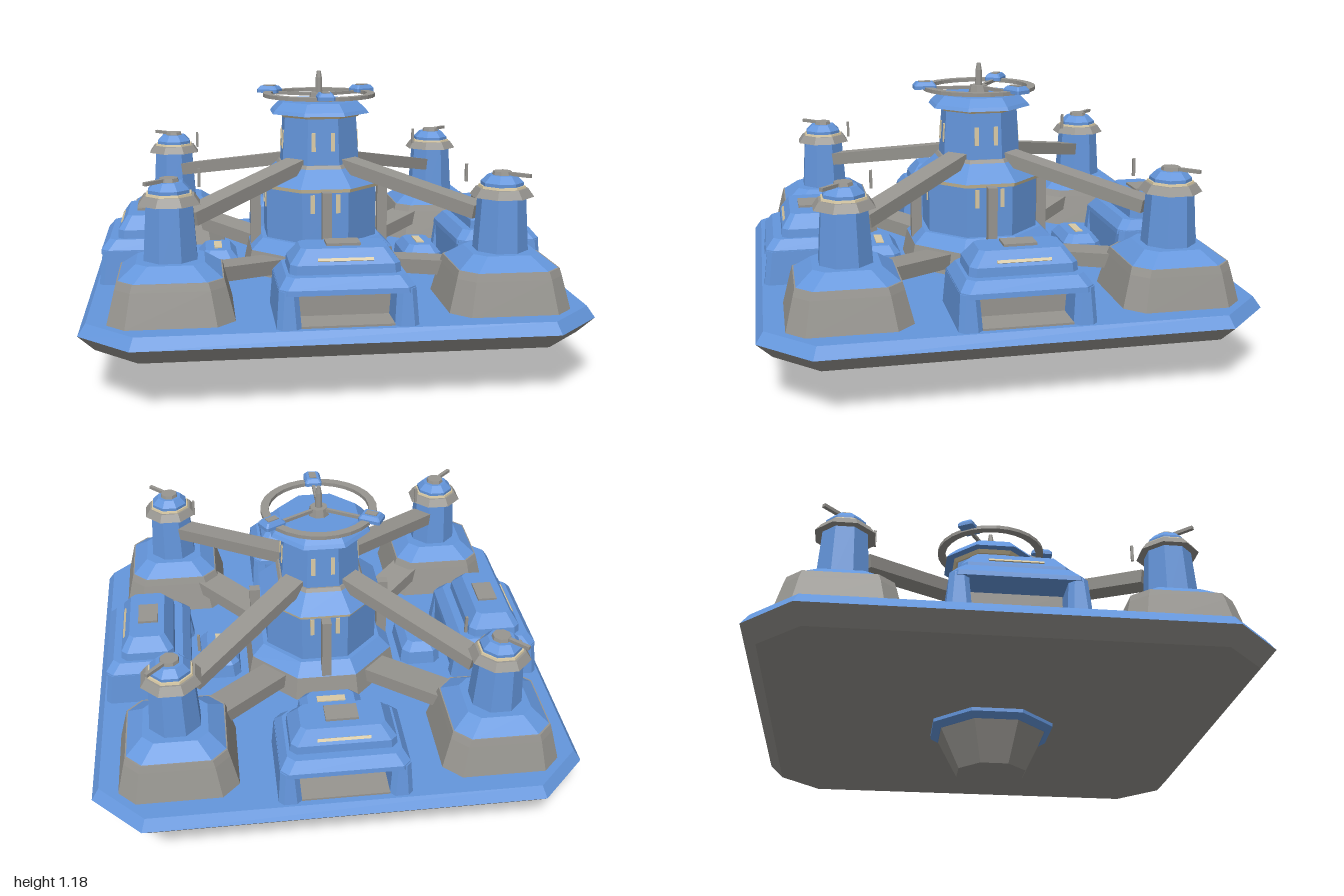
import * as THREE from 'three';

const material = (name, color) => {
  const m = new THREE.MeshStandardMaterial({ color, flatShading: true });
  m.name = name;
  return m;
};

// Stacked chamfered rectangles, each level [y, halfX, halfZ, chamfer]
function loft(levels) {
  const rings = levels.map(([y, a, b, c]) => [
    [a - c, b], [a, b - c], [a, c - b], [a - c, -b],
    [c - a, -b], [-a, c - b], [-a, b - c], [c - a, b],
  ].map(([x, z]) => [x, y, z]));
  const out = [];
  const tri = (...p) => p.forEach((v) => out.push(...v));
  const top = rings[rings.length - 1], bottom = rings[0];
  for (let i = 0; i < 8; i++) {
    const j = (i + 1) % 8;
    for (let k = 0; k < rings.length - 1; k++) {
      const l = rings[k], u = rings[k + 1];
      tri(l[i], l[j], u[j]);
      tri(l[i], u[j], u[i]);
    }
    tri([0, top[0][1], 0], top[i], top[j]);
    tri([0, bottom[0][1], 0], bottom[j], bottom[i]);
  }
  const g = new THREE.BufferGeometry();
  g.setAttribute('position', new THREE.Float32BufferAttribute(out, 3));
  g.computeVertexNormals();
  return g;
}
// Regular octagonal stack, each level [y, halfWidth]
const octagon = (...levels) => loft(levels.map(([y, r]) => [y, r, r, r * 0.586]));
const box = (w, h, d) => new THREE.BoxGeometry(w, h, d);

export function createModel() {
  const root = new THREE.Group();
  root.name = 'platformStation';
  const blue = material('hull blue', 0x6496dc);
  const grey = material('metal grey', 0x979590);
  const tan = material('light tan', 0xd8c9a4);

  const add = (parent, name, geometry, mat, x = 0, y = 0, z = 0) => {
    const m = new THREE.Mesh(geometry, mat);
    m.name = name;
    m.position.set(x, y, z);
    parent.add(m);
    return m;
  };
  const group = (name, x = 0, y = 0, z = 0, turn = 0) => {
    const g = new THREE.Group();
    g.name = name;
    g.position.set(x, y, z);
    g.rotation.y = turn;
    root.add(g);
    return g;
  };
  const beam = (name, from, to, w, h) => {
    const a = new THREE.Vector3(...from), b = new THREE.Vector3(...to);
    const m = new THREE.Mesh(box(w, h, a.distanceTo(b)), grey);
    m.name = name;
    m.position.copy(a).add(b).multiplyScalar(0.5);
    m.lookAt(b);
    root.add(m);
  };

  // Platform and keel
  add(root, 'platformUnderside', loft([[0.2, 0.94, 0.94, 0.17], [0.265, 1, 1, 0.2]]), grey);
  add(root, 'platformDeck', loft([[0.265, 1, 1, 0.2], [0.31, 0.97, 0.97, 0.185]]), blue);
  add(root, 'keelCollar', octagon([0.165, 0.225], [0.185, 0.255], [0.21, 0.255]), blue);
  add(root, 'keel', octagon([0, 0.142], [0.167, 0.222]), grey);

  // Central tower
  add(root, 'coreBase', octagon([0.31, 0.33], [0.41, 0.31]), grey);
  add(root, 'coreBaseBevel', octagon([0.41, 0.31], [0.46, 0.26]), blue);
  add(root, 'coreBody', octagon([0.45, 0.24], [0.68, 0.24]), blue);
  add(root, 'coreTrim', octagon([0.68, 0.25], [0.697, 0.255]), tan);
  add(root, 'coreShoulder', octagon([0.697, 0.26], [0.775, 0.18]), blue);
  add(root, 'coreShoulderTrim', octagon([0.77, 0.185], [0.785, 0.175]), grey);
  add(root, 'coreShaft', octagon([0.78, 0.168], [0.99, 0.156]), blue);
  add(root, 'capTrim', octagon([0.985, 0.165], [1.0, 0.175]), tan);
  add(root, 'cap', octagon([1.0, 0.21], [1.015, 0.2], [1.05, 0.165]), blue);
  for (let i = 0; i < 4; i++) {
    const side = group('coreSide', 0, 0, 0, i * Math.PI / 2);
    add(side, 'pillar', box(0.04, 0.38, 0.045), grey, 0, 0.5, 0.285);
    for (const s of [-1, 1]) {
      add(side, 'upperWindow', box(0.018, 0.08, 0.008), tan, s * 0.042, 0.885, 0.163).rotation.x = -0.057;
      add(side, 'lowerWindow', box(0.018, 0.08, 0.008), tan, s * 0.055, 0.63, 0.241);
    }
  }

  // Ring, spokes and pods above the cap
  const ring = new THREE.Shape().absarc(0, 0, 0.247, 0, Math.PI * 2);
  ring.holes.push(new THREE.Path().absarc(0, 0, 0.212, 0, Math.PI * 2, true));
  const ringGeometry = new THREE.ExtrudeGeometry(ring, { depth: 0.016, bevelEnabled: false, curveSegments: 14 });
  ringGeometry.rotateX(-Math.PI / 2);
  add(root, 'ring', ringGeometry, grey, 0, 1.068, 0);
  add(root, 'mastHub', octagon([1.05, 0.042], [1.085, 0.035]), grey);
  add(root, 'mast', octagon([1.08, 0.015], [1.15, 0.013], [1.18, 0.008]), grey);
  for (let i = 0; i < 3; i++) {
    const arm = group('ringArm', 0, 0, 0, i * Math.PI * 2 / 3);
    add(arm, 'spoke', box(0.014, 0.014, 0.21), grey, 0, 1.075, 0.125);
    add(arm, 'pod', loft([[1.075, 0.036, 0.048, 0.006], [1.09, 0.036, 0.048, 0.006], [1.105, 0.026, 0.036, 0.006]]),
      blue, 0, 0, 0.24);
    add(arm, 'podPanel', box(0.03, 0.005, 0.05), grey, 0, 1.106, 0.24);
  }

  // Corner turrets with their struts
  for (const sx of [-1, 1]) for (const sz of [-1, 1]) {
    const t = group('turret', sx * 0.65, 0, sz * 0.65);
    add(t, 'turretFoot', loft([[0.31, 0.24, 0.24, 0.07], [0.44, 0.208, 0.208, 0.06], [0.47, 0.2, 0.2, 0.06]]), grey);
    add(t, 'turretFootTop', loft([[0.47, 0.195, 0.195, 0.06], [0.52, 0.13, 0.13, 0.045]]), blue);
    add(t, 'turretShaft', octagon([0.47, 0.105], [0.74, 0.088]), blue);
    add(t, 'turretCollar', octagon([0.735, 0.117], [0.768, 0.095]), grey);
    add(t, 'turretTrim', octagon([0.765, 0.088], [0.777, 0.085]), tan);
    add(t, 'turretHead', octagon([0.775, 0.078], [0.79, 0.078], [0.818, 0.052]), blue);
    add(t, 'gunMount', octagon([0.815, 0.038], [0.832, 0.034]), grey);
    add(t, 'gunBarrel', box(0.016, 0.014, 0.13), grey, sx * 0.042, 0.824, sz * 0.042)
      .rotation.y = Math.atan2(sx, sz);
    add(root, 'antenna', box(0.011, 0.072, 0.011), grey, sx * 0.535, 0.808, sz * 0.535);
    beam('upperStrut', [sx * 0.58, 0.66, sz * 0.58], [sx * 0.1, 0.785, sz * 0.1], 0.095, 0.055);
    beam('lowerStrut', [sx * 0.5, 0.415, sz * 0.5], [sx * 0.2, 0.365, sz * 0.2], 0.13, 0.06);
  }

  // Hangars and hatch modules on the four sides
  for (let i = 0; i < 4; i++) {
    const turn = i * Math.PI / 2, dx = Math.sin(turn), dz = Math.cos(turn);
    const h = group('hangar', dx * 0.765, 0, dz * 0.765, turn);
    for (const s of [-1, 1]) {
      add(h, 'hangarWall', loft([[0.31, 0.046, 0.195, 0.02], [0.45, 0.036, 0.178, 0.02]]), blue, s * 0.22);
    }
    add(h, 'hangarBack', box(0.4, 0.14, 0.03), blue, 0, 0.38, -0.165);
    add(h, 'hangarBay', box(0.36, 0.125, 0.2), grey, 0, 0.3725, -0.05);
    add(h, 'hangarFloor', box(0.35, 0.008, 0.34), grey, 0, 0.314, 0.01);
    add(h, 'hangarRoof', loft([[0.435, 0.256, 0.185, 0.03], [0.455, 0.254, 0.183, 0.03], [0.495, 0.225, 0.15, 0.03]]), blue);
    add(h, 'hangarUpper', loft([[0.49, 0.212, 0.115, 0.025], [0.53, 0.208, 0.112, 0.025], [0.585, 0.165, 0.075, 0.02]]), blue);
    add(h, 'hangarLightStrip', box(0.21, 0.012, 0.008), tan, 0, 0.547, 0.101).rotation.x = -0.59;
    add(h, 'roofVent', box(0.13, 0.012, 0.085), grey, 0, 0.589, -0.005);

    const m = group('hatchModule', dx * 0.455, 0, dz * 0.455, turn);
    add(m, 'hatchBody', loft([[0.31, 0.14, 0.09, 0.03], [0.37, 0.132, 0.084, 0.03], [0.405, 0.1, 0.055, 0.02]]), blue);
    add(m, 'hatchWindow', box(0.12, 0.006, 0.034), tan, 0, 0.407, 0);
  }
  return root;
}
